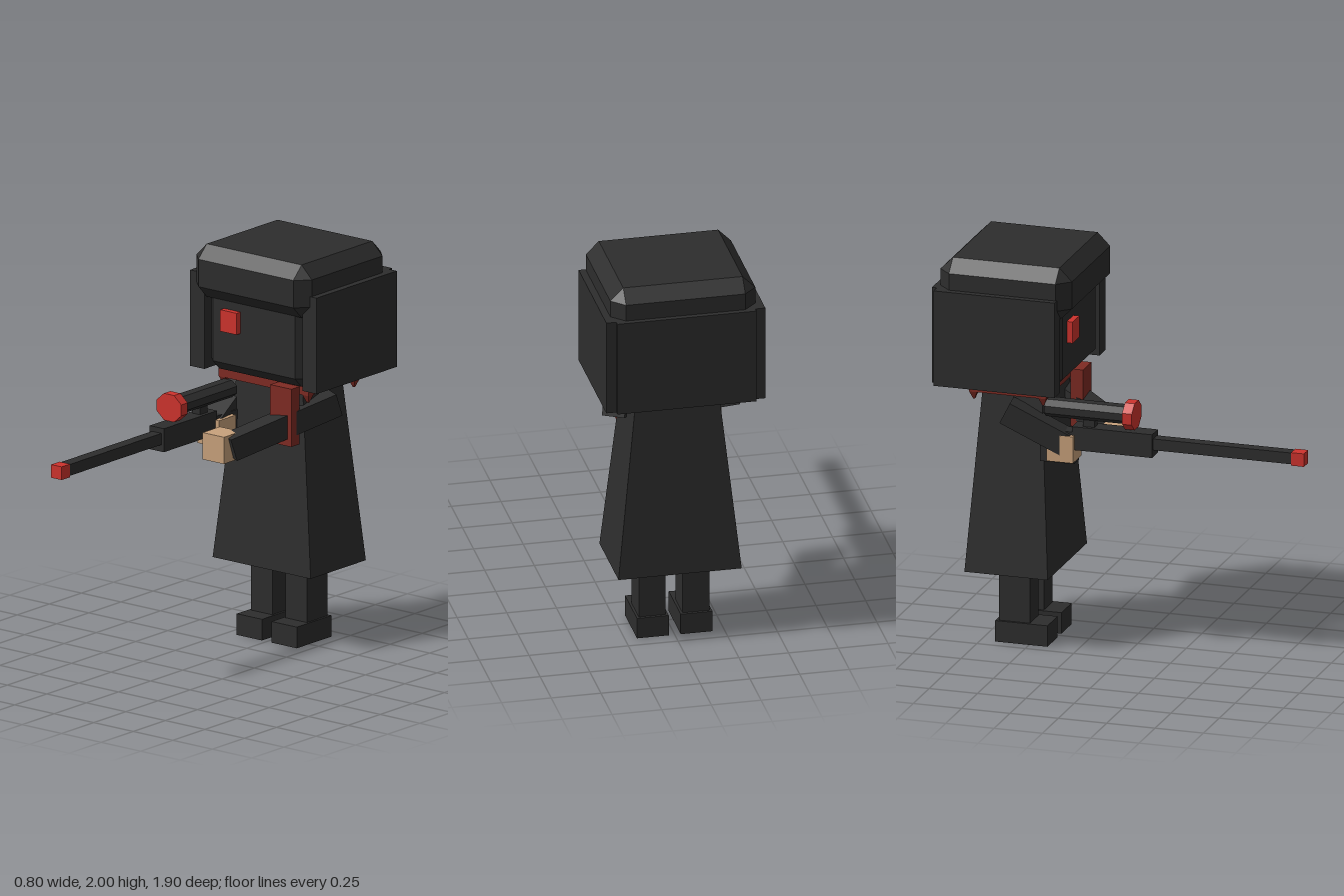
import * as THREE from 'three';
import { ConvexGeometry } from 'three/addons/geometries/ConvexGeometry.js';

const makeMaterial = (name, color) => {
  const m = new THREE.MeshStandardMaterial({ color });
  m.name = name;
  m.flatShading = true;
  return m;
};

export function createModel() {
  const model = new THREE.Group();
  const cloth = makeMaterial('charcoal', 0x2d2d2d);
  const red = makeMaterial('bright red', 0xcf332d);
  const scarfRed = makeMaterial('dark red', 0x7f2b23);
  const skin = makeMaterial('tan', 0xc9a27c);

  const add = (name, geometry, material, x = 0, y = 0, z = 0) => {
    const mesh = new THREE.Mesh(geometry, material);
    mesh.name = name;
    mesh.position.set(x, y, z);
    model.add(mesh);
    return mesh;
  };
  // Box given by its extents on each axis
  const box = (name, material, [x0, x1], [y0, y1], [z0, z1]) =>
    add(name, new THREE.BoxGeometry(x1 - x0, y1 - y0, z1 - z0), material,
      (x0 + x1) / 2, (y0 + y1) / 2, (z0 + z1) / 2);
  // Box with every edge cut off by c
  const chamferBox = (w, h, d, c) => {
    const points = [];
    for (const sx of [-1, 1]) for (const sy of [-1, 1]) for (const sz of [-1, 1])
      for (let axis = 0; axis < 3; axis++) {
        const half = [w / 2 - c, h / 2 - c, d / 2 - c];
        half[axis] += c;
        points.push(new THREE.Vector3(sx * half[0], sy * half[1], sz * half[2]));
      }
    return new ConvexGeometry(points);
  };

  // Head, cap and hood panels
  add('head', chamferBox(0.62, 0.54, 0.6, 0.05), cloth, 0, 1.63, -0.605);
  add('cap', chamferBox(0.73, 0.27, 0.68, 0.065), cloth, 0, 1.865, -0.582);
  box('hoodBack', cloth, [-0.35, 0.35], [1.36, 1.85], [-0.95, -0.88]);
  for (const s of [-1, 1]) {
    add('hoodSide', new THREE.BoxGeometry(0.09, 0.49, 0.625), cloth, s * 0.355, 1.605, -0.6125);
  }
  box('eye', red, [-0.19, -0.085], [1.58, 1.69], [-0.31, -0.275]);

  // Tapered coat
  const coat = new THREE.BoxGeometry(0.62, 0.975, 0.43);
  const p = coat.attributes.position;
  for (let i = 0; i < p.count; i++) {
    if (p.getY(i) > 0) {
      p.setX(i, Math.sign(p.getX(i)) * 0.205);
      p.setZ(i, Math.sign(p.getZ(i)) * 0.15);
    }
  }
  add('coat', coat, cloth, 0, 0.8725, -0.58);

  // Legs and shoes
  for (const s of [-1, 1]) {
    add('leg', new THREE.BoxGeometry(0.135, 0.34, 0.16), cloth, s * 0.11, 0.27, -0.58);
    add('shoe', new THREE.BoxGeometry(0.16, 0.108, 0.27), cloth, s * 0.11, 0.054, -0.54);
  }

  // Square scarf with pointed corners and a hanging tail
  for (const s of [-1, 1]) {
    add('scarfBar', new THREE.BoxGeometry(0.57, 0.07, 0.06), scarfRed, 0, 1.345, -0.58 + s * 0.17);
    add('scarfSide', new THREE.BoxGeometry(0.08, 0.07, 0.28), scarfRed, s * 0.245, 1.345, -0.58);
    for (const t of [-1, 1]) {
      const corner = add('scarfCorner', new THREE.CylinderGeometry(0.028, 0.006, 0.04, 4),
        scarfRed, s * 0.264, 1.29, -0.58 + t * 0.179);
      corner.rotation.y = Math.PI / 4;
    }
  }
  box('scarfTail', scarfRed, [0.095, 0.228], [1.055, 1.35], [-0.38, -0.315]);

  // Arms run from shoulder to hand
  const arm = (name, from, to) => {
    const a = new THREE.Vector3(...from), b = new THREE.Vector3(...to);
    const mesh = add(name, new THREE.BoxGeometry(0.115, 0.115, a.distanceTo(b)), cloth);
    mesh.position.lerpVectors(a, b, 0.5);
    mesh.lookAt(b);
  };
  arm('leftArm', [0.285, 1.235, -0.585], [0.02, 1.065, -0.09]);
  arm('rightArm', [-0.285, 1.235, -0.585], [-0.24, 1.08, -0.28]);
  box('leftHand', skin, [-0.097, 0.037], [0.998, 1.135], [-0.16, -0.025]);
  box('rightHand', skin, [-0.302, -0.167], [0.998, 1.135], [-0.372, -0.237]);

  // Rifle
  const gx = -0.233;
  const gunBox = (name, material, half, y, z) => box(name, material, [gx - half, gx + half], y, z);
  gunBox('barrel', cloth, 0.03, [1.096, 1.154], [0.15, 0.885]);
  gunBox('muzzle', red, 0.033, [1.09, 1.157], [0.88, 0.946]);
  gunBox('receiver', cloth, 0.045, [1.06, 1.18], [-0.25, 0.165]);
  gunBox('stock', cloth, 0.04, [0.985, 1.15], [-0.415, -0.24]);
  gunBox('scopeMount', cloth, 0.025, [1.17, 1.23], [-0.2, -0.14]);

  // Eight-sided scope with a red front lens
  const tube = (name, material, r, length, z, squash) => {
    const g = new THREE.CylinderGeometry(r, r, length, 8);
    g.rotateY(Math.PI / 8);
    g.rotateX(Math.PI / 2);
    g.scale(1, squash, 1);
    add(name, g, material, gx, 1.258, z);
  };
  tube('scope', cloth, 0.063, 0.42, -0.18, 0.75);
  tube('scopeLens', red, 0.084, 0.05, 0.045, 0.88);

  return model;
}
